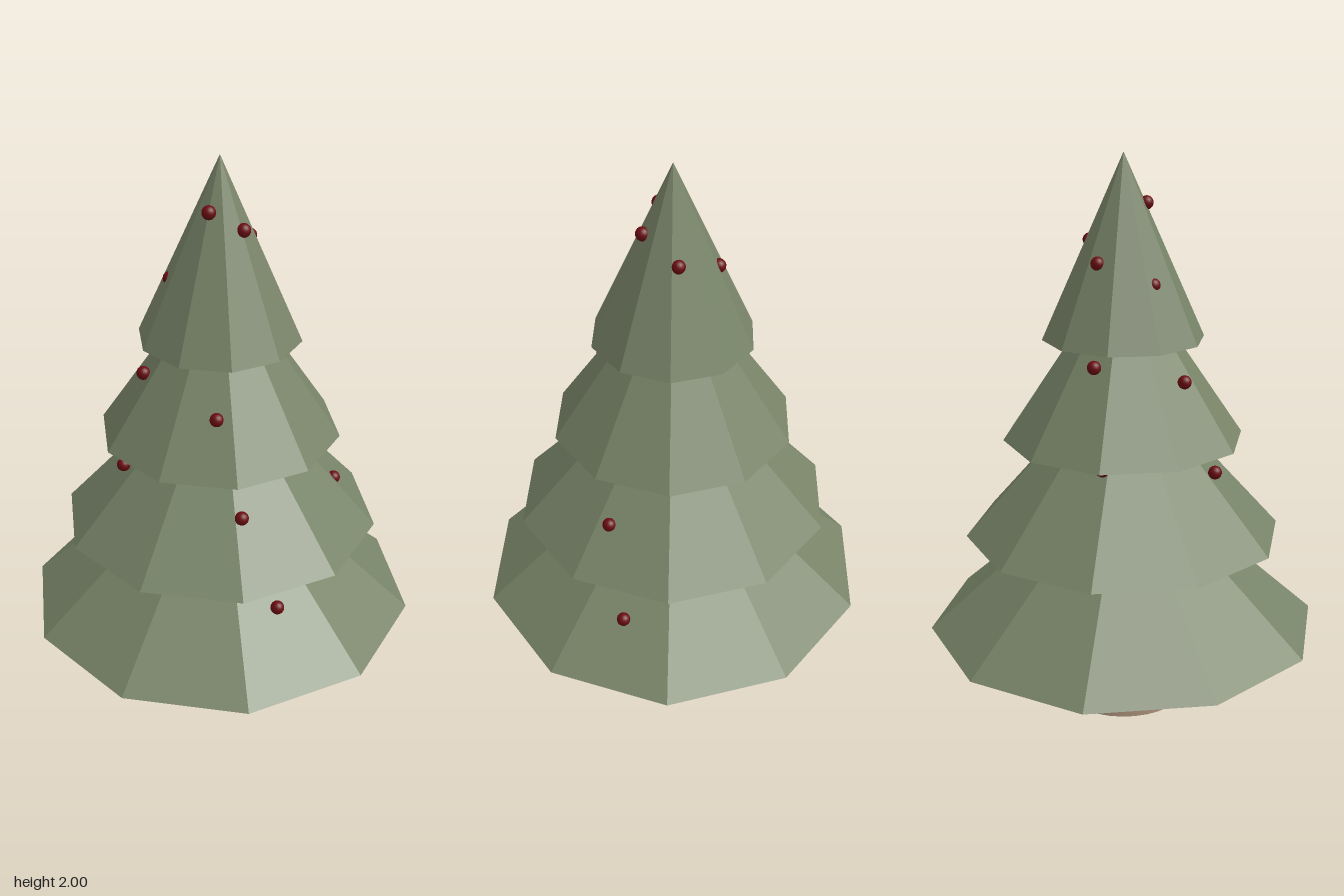
import * as THREE from 'three';

const leaf = new THREE.MeshStandardMaterial({ color: 0x788468, flatShading: true });
const bark = new THREE.MeshStandardMaterial({ color: 0xa38a74 });
const red = new THREE.MeshStandardMaterial({ color: 0x6a0d12 });

function add(group, name, geometry, material, x, y, z) {
  const mesh = new THREE.Mesh(geometry, material);
  mesh.name = name;
  mesh.position.set(x, y, z);
  group.add(mesh);
}

export function createModel() {
  const tree = new THREE.Group();
  tree.name = 'decoratedTree';

  // Smooth tapered trunk, its top just inside the lowest tier
  add(tree, 'trunk', new THREE.CylinderGeometry(0.2, 0.24, 0.3, 32), bark, 0, 0.15, 0);

  // Four overlapping ten-sided cones, shrinking upwards
  const height = 0.637;
  [0.715, 0.573, 0.43, 0.286].forEach((radius, i) => {
    const base = 0.285 + i * 0.3595;
    const h = i === 3 ? 2 - base : height;
    add(tree, `foliageTier${i + 1}`, new THREE.ConeGeometry(radius, h, 10), leaf, 0, base + h / 2, 0);
  });

  // Small baubles scattered over the tiers, from top to bottom
  const baubles = new THREE.Group();
  baubles.name = 'baubles';
  const ball = new THREE.SphereGeometry(0.024, 16, 12);
  [
    [-0.045, 1.83, 0.065], [0.067, 1.77, 0.08], [0.11, 1.7, -0.057],
    [-0.03, 1.645, -0.148], [-0.167, 1.575, -0.02],
    [0.16, 1.37, -0.135], [-0.1, 1.315, -0.23], [-0.27, 1.25, 0.03], [-0.05, 1.19, 0.285],
    [-0.205, 0.995, -0.29], [-0.355, 0.93, 0.1], [0.02, 0.865, 0.395], [0.405, 0.805, 0.09],
    [-0.41, 0.61, 0.1], [0.133, 0.545, 0.485], [0.52, 0.48, 0],
  ].forEach(([x, y, z], i) => add(baubles, `bauble${i + 1}`, ball, red, x, y, z));
  tree.add(baubles);

  return tree;
}
